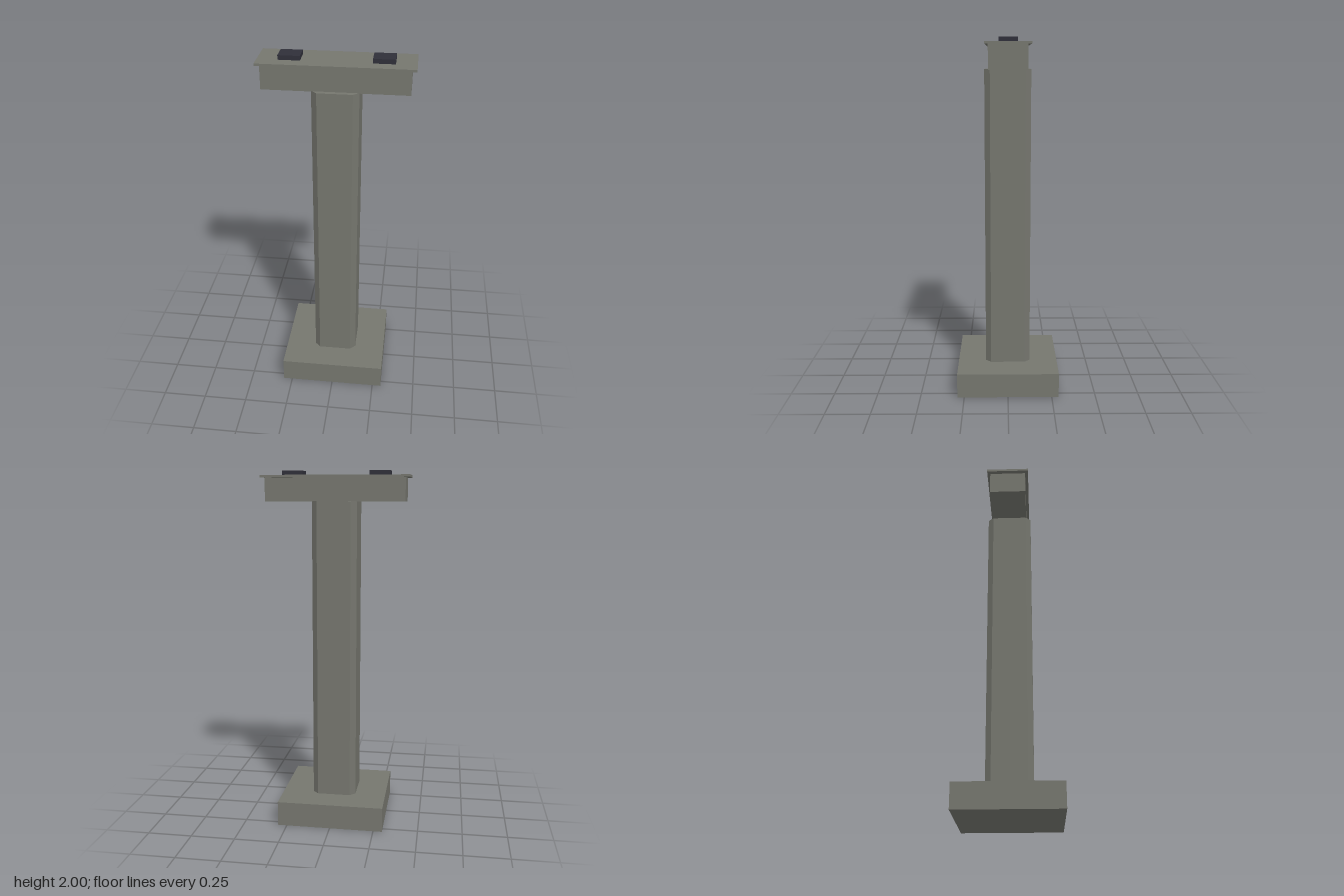
import * as THREE from 'three';

export function createModel() {
  const model = new THREE.Group();
  model.name = 'bridgePier';

  const concrete = new THREE.MeshStandardMaterial({ color: 0x75766e });
  concrete.name = 'concrete grey';
  const rubber = new THREE.MeshStandardMaterial({ color: 0x2f2f39 });
  rubber.name = 'dark rubber';

  const add = (name, geometry, material, x, y, z) => {
    const mesh = new THREE.Mesh(geometry, material);
    mesh.name = name;
    mesh.position.set(x, y, z);
    model.add(mesh);
  };

  // Box given by width, bottom, top and depth
  const block = (name, material, w, y0, y1, d, x = 0) =>
    add(name, new THREE.BoxGeometry(w, y1 - y0, d), material, x, (y0 + y1) / 2, 0);

  block('footing', concrete, 0.602, 0, 0.14, 0.578);

  // Column with chamfered corners
  const hx = 0.125, hz = 0.129, c = 0.031;
  const section = new THREE.Shape([
    [hx, -hz + c], [hx, hz - c], [hx - c, hz], [-hx + c, hz],
    [-hx, hz - c], [-hx, -hz + c], [-hx + c, -hz], [hx - c, -hz],
  ].map(([x, y]) => new THREE.Vector2(x, y)));
  const column = new THREE.ExtrudeGeometry(section, { depth: 1.695, bevelEnabled: false });
  column.rotateX(-Math.PI / 2);
  add('column', column, concrete, 0, 0.14, 0);

  // Cap beam and its overhanging slab
  block('capBeam', concrete, 0.776, 1.833, 1.963, 0.206);
  block('capSlab', concrete, 0.824, 1.963, 1.976, 0.24);

  // Bearing pads
  for (const side of [-1, 1]) {
    block(side > 0 ? 'leftBearingPad' : 'rightBearingPad', rubber, 0.116, 1.976, 2, 0.1, side * 0.244);
  }

  return model;
}
